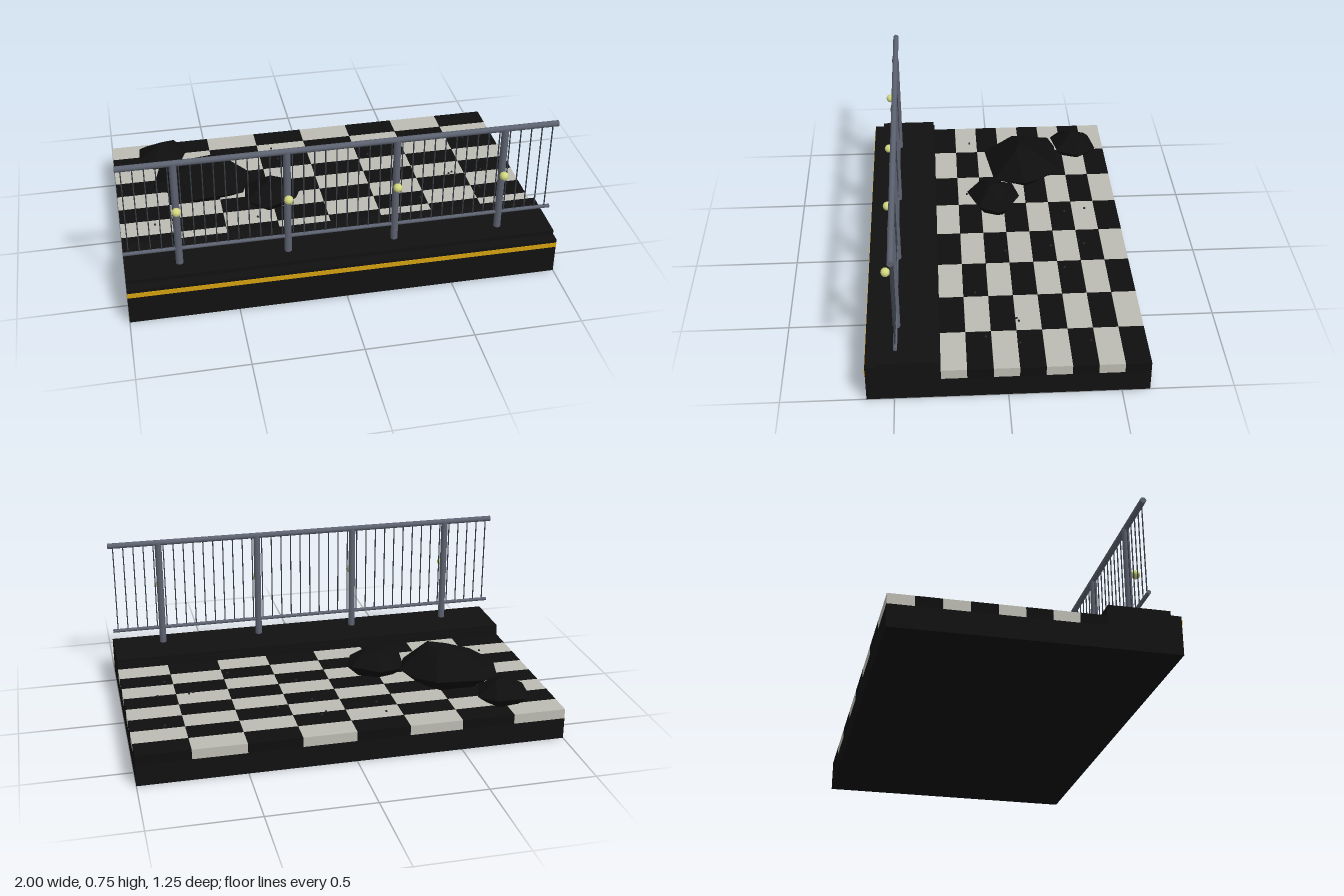
import * as THREE from 'three';
import { ConvexGeometry } from 'three/addons/geometries/ConvexGeometry.js';

const mat = (name, color, flat = false) => {
  const m = new THREE.MeshStandardMaterial({ color, flatShading: flat });
  m.name = name;
  return m;
};

export function createModel() {
  const root = new THREE.Group();
  root.name = 'stationPlatform';

  const concrete = mat('dark concrete', 0x111111);
  const darkTile = mat('dark tile', 0x0f0f0f);
  const lightTile = mat('light tile', 0xbcbcb4);
  const steel = mat('rail steel', 0x5c6270);
  const barSteel = mat('bar steel', 0x3a3f48);
  const yellow = mat('safety yellow', 0xd4a010);
  const lampGlow = mat('lamp yellow', 0xd2d880);
  const rubble = mat('rubble black', 0x0e0e0e, true);
  const pebble = mat('pebble grey', 0x2a2a2e, true);

  const add = (parent, name, geometry, material, x = 0, y = 0, z = 0) => {
    const mesh = new THREE.Mesh(geometry, material);
    mesh.name = name;
    mesh.position.set(x, y, z);
    parent.add(mesh);
    return mesh;
  };
  const group = (name) => {
    const g = new THREE.Group();
    g.name = name;
    root.add(g);
    return g;
  };
  // box given by its y and z ranges, running the full width
  const slab = (name, material, y0, y1, z0, z1) =>
    add(root, name, new THREE.BoxGeometry(2, y1 - y0, z1 - z0), material, 0, (y0 + y1) / 2, (z0 + z1) / 2);

  // Foundation and stepped kerb
  slab('floorBase', concrete, 0, 0.103, -0.625, 0.295);
  slab('kerb', concrete, 0, 0.18, 0.295, 0.622);
  slab('kerbTop', concrete, 0.18, 0.2, 0.3, 0.575);
  slab('safetyStripe', yellow, 0.14, 0.163, 0.621, 0.625);

  // Chequered floor
  const floor = group('chequeredFloor');
  const pitch = 0.115;
  const tile = new THREE.BoxGeometry(0.249, 0.047, pitch - 0.001);
  for (let i = 0; i < 8; i++) {
    for (let j = 0; j < 8; j++) {
      const light = (i + j) % 2 === 0;
      add(floor, light ? 'lightTile' : 'darkTile', tile, light ? lightTile : darkTile,
        -0.875 + i * 0.25, 0.1265, -0.625 + (j + 0.5) * pitch);
    }
  }

  // Railing: rails, bars, posts and lamps
  const railing = group('railing');
  const railZ = 0.485;
  const rail = (name, y, r) => {
    add(railing, name, new THREE.CylinderGeometry(r, r, 2, 12), steel, 0, y, railZ).rotation.z = Math.PI / 2;
  };
  rail('topRail', 0.736, 0.014);
  rail('bottomRail', 0.281, 0.009);

  const bar = new THREE.CylinderGeometry(0.003, 0.003, 0.455, 6);
  for (let i = 0; i < 40; i++) add(railing, 'bar', bar, barSteel, -0.975 + i * 0.05, 0.5085, railZ);

  const post = new THREE.CylinderGeometry(0.017, 0.017, 0.536, 12);
  const lamp = new THREE.SphereGeometry(0.021, 12, 8);
  for (const x of [-0.75, -0.25, 0.25, 0.75]) {
    add(railing, 'post', post, steel, x, 0.468, railZ);
    add(railing, 'lamp', lamp, lampGlow, x, 0.503, 0.521);
  }

  // Rubble heaps: faceted hull from a wide waist, a narrower foot and a few peaks
  const heaps = group('rubbleHeaps');
  const heap = (name, waistY, outline, peaks) => {
    const cx = outline.reduce((s, p) => s + p[0], 0) / outline.length;
    const cz = outline.reduce((s, p) => s + p[1], 0) / outline.length;
    const points = peaks.map((p) => new THREE.Vector3(...p));
    outline.forEach(([x, z], i) => {
      points.push(new THREE.Vector3(x, waistY + (i % 2) * 0.012, z));
      points.push(new THREE.Vector3(cx + (x - cx) * 0.65, 0.149, cz + (z - cz) * 0.65));
    });
    add(heaps, name, new ConvexGeometry(points), rubble);
  };
  heap('largeHeap', 0.205, [
    [-0.70, -0.35], [-0.46, -0.35], [-0.38, -0.25], [-0.33, -0.16],
    [-0.39, -0.01], [-0.65, 0.03], [-0.82, -0.13], [-0.77, -0.32],
  ], [[-0.475, 0.34, -0.13], [-0.56, 0.33, -0.15], [-0.69, 0.285, -0.14], [-0.5, 0.31, -0.22]]);
  heap('frontHeap', 0.195, [
    [-0.25, -0.13], [-0.11, -0.06], [-0.10, -0.02], [-0.14, 0.08],
    [-0.30, 0.135], [-0.39, 0.06], [-0.37, -0.10],
  ], [[-0.22, 0.272, 0.03], [-0.25, 0.274, -0.03], [-0.29, 0.265, 0.03]]);
  heap('backHeap', 0.187, [
    [-0.83, -0.55], [-0.68, -0.57], [-0.62, -0.48], [-0.66, -0.365],
    [-0.82, -0.34], [-0.87, -0.40], [-0.86, -0.53],
  ], [[-0.75, 0.27, -0.445], [-0.71, 0.255, -0.47]]);

  // Scattered pebbles
  const pebbles = group('pebbles');
  const stone = new THREE.DodecahedronGeometry(0.006);
  [
    [-0.18, -0.46], [-0.16, -0.355], [0.12, -0.425], [0.095, -0.40], [0.305, -0.31],
    [0.13, -0.26], [0.16, -0.035], [0.84, -0.375], [0.69, -0.065], [0.67, -0.055],
    [0.84, -0.06], [0.475, 0.125], [0.79, 0.09], [-0.835, 0.105], [-0.34, 0.135],
  ].forEach(([x, z], i) => {
    add(pebbles, 'pebble', stone, pebble, x, 0.154, z).rotation.set(i, i * 2, 0);
  });

  return root;
}
